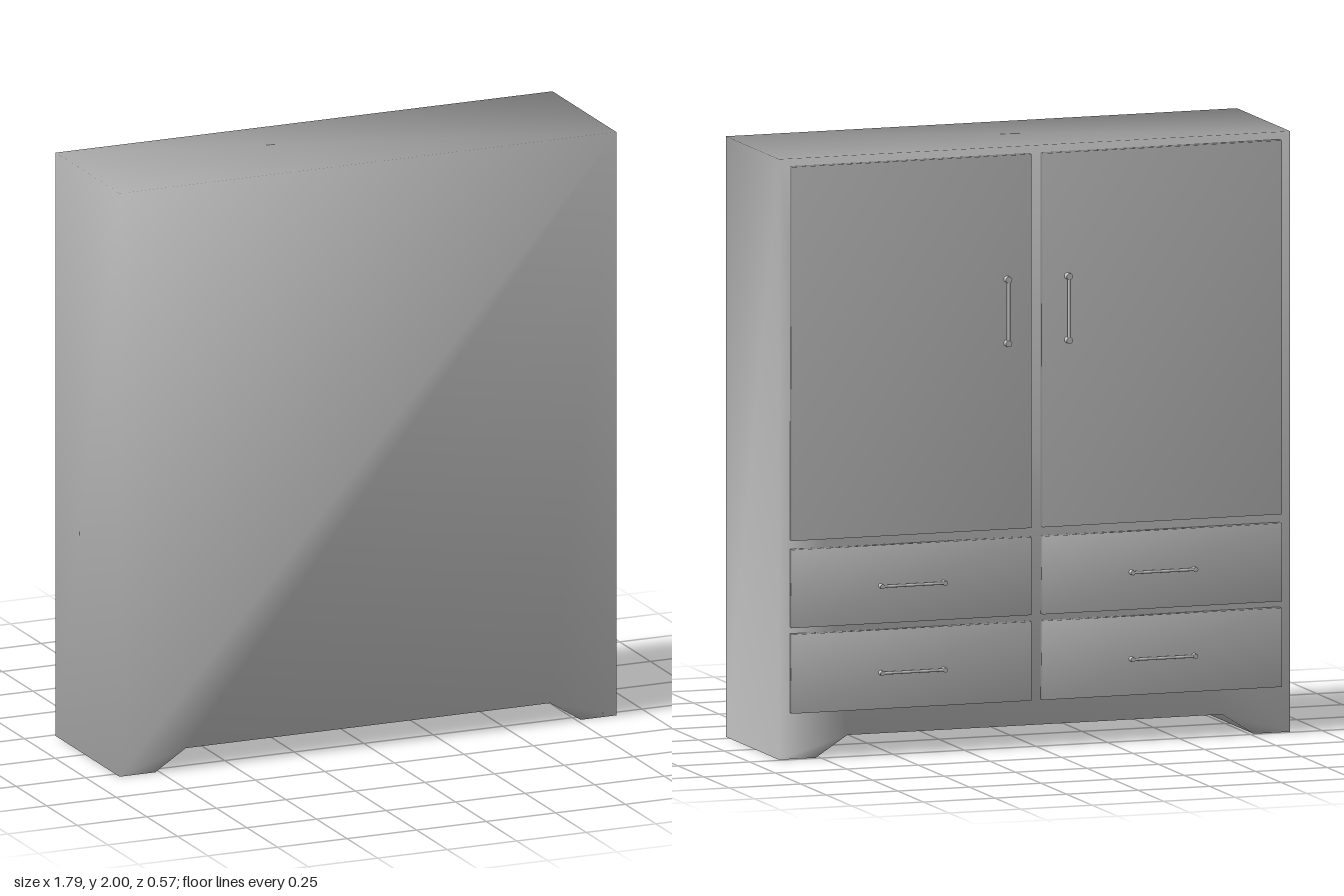
import * as THREE from 'three';
import { mergeVertices } from 'three/addons/utils/BufferGeometryUtils.js';

const material = new THREE.MeshStandardMaterial({ color: 0xcccccc });

// Weld shared corners so the shading runs softly across the edges
function soften(geometry) {
  geometry.deleteAttribute('normal');
  geometry.deleteAttribute('uv');
  const welded = mergeVertices(geometry, 1e-4);
  welded.computeVertexNormals();
  return welded;
}

function addMesh(parent, name, geometry, x = 0, y = 0, z = 0) {
  const mesh = new THREE.Mesh(geometry, material);
  mesh.name = name;
  mesh.position.set(x, y, z);
  parent.add(mesh);
  return mesh;
}

const BODY_BACK = 0.284, BODY_FACE = -0.238, PANEL_FACE = -0.263, HANDLE_FACE = -0.285;

// Carcass: one outline with splayed feet, extruded through the depth
function bodyGeometry() {
  const outline = new THREE.Shape([
    [-0.893, 0], [-0.765, 0], [-0.655, 0.07], [0.655, 0.07],
    [0.765, 0], [0.893, 0], [0.893, 2], [-0.893, 2],
  ].map(([x, y]) => new THREE.Vector2(x, y)));
  const geometry = new THREE.ExtrudeGeometry(outline, { depth: BODY_BACK - BODY_FACE, bevelEnabled: false });
  geometry.translate(0, 0, BODY_FACE);
  return soften(geometry);
}

// Door or drawer front between two heights
function addPanel(parent, name, side, y0, y1) {
  const depth = BODY_FACE - PANEL_FACE + 0.004;
  const geometry = soften(new THREE.BoxGeometry(0.835, y1 - y0, depth));
  addMesh(parent, name, geometry, side * 0.4375, (y0 + y1) / 2, PANEL_FACE + depth / 2);
}

// Bar handle on two round posts, standing upright until rotated
function makeHandle(name, postRadius, barRadius) {
  const handle = new THREE.Group();
  handle.name = name;
  const length = 0.235, reach = PANEL_FACE - HANDLE_FACE;
  const end = length / 2 - postRadius;
  addMesh(handle, 'bar', new THREE.CylinderGeometry(barRadius, barRadius, end * 2, 12), 0, 0, -reach + barRadius);
  for (const s of [-1, 1]) {
    const post = new THREE.CylinderGeometry(postRadius, postRadius, reach + 0.002, 16);
    post.rotateX(Math.PI / 2);
    addMesh(handle, 'post', post, 0, s * end, -reach / 2 + 0.001);
  }
  return handle;
}

export function createModel() {
  const wardrobe = new THREE.Group();
  wardrobe.name = 'wardrobe';
  addMesh(wardrobe, 'body', bodyGeometry());

  for (const side of [-1, 1]) {
    const label = side > 0 ? 'left' : 'right';

    // Tall door with an upright handle near the middle
    addPanel(wardrobe, label + 'Door', side, 0.73, 1.975);
    const doorHandle = makeHandle(label + 'DoorHandle', 0.011, 0.006);
    doorHandle.position.set(side * 0.106, 1.457, PANEL_FACE);
    wardrobe.add(doorHandle);

    // Two drawers with level handles
    [[0.44, 0.7, 0.565, 'Upper'], [0.155, 0.418, 0.276, 'Lower']].forEach(([y0, y1, handleY, row]) => {
      addPanel(wardrobe, label + row + 'Drawer', side, y0, y1);
      const handle = makeHandle(label + row + 'DrawerHandle', 0.008, 0.005);
      handle.rotation.z = Math.PI / 2;
      handle.position.set(side * 0.4375, handleY, PANEL_FACE);
      wardrobe.add(handle);
    });
  }
  return wardrobe;
}
